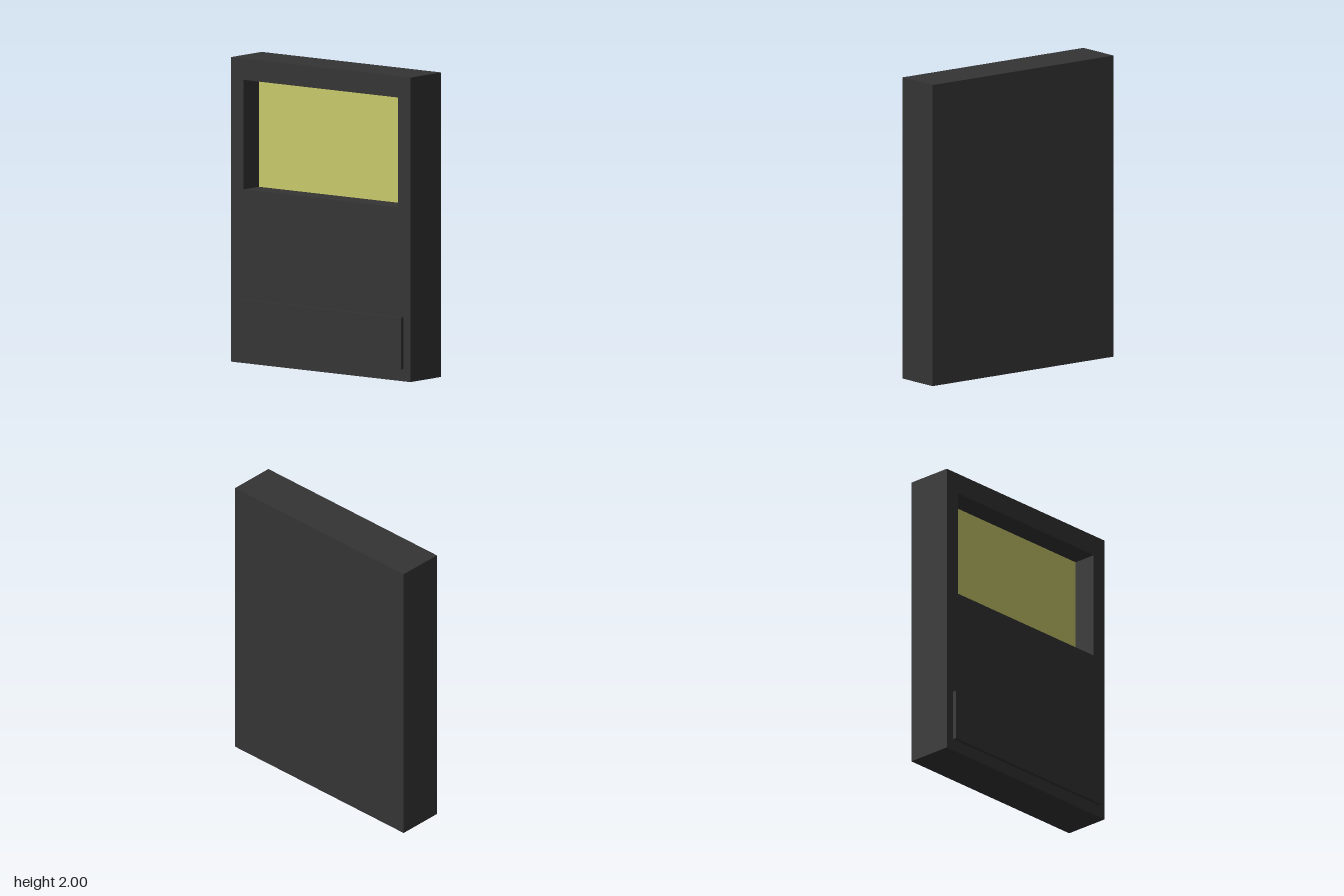
import * as THREE from 'three';

const HALF_WIDTH = 0.755, HEIGHT = 2;
const BACK = -0.17, FLOOR = -0.02, FRONT = 0.145;

// Adds the corners of a rectangle to a shape or path
function rectangle(path, halfWidth, bottom, top) {
  path.moveTo(-halfWidth, bottom);
  path.lineTo(halfWidth, bottom);
  path.lineTo(halfWidth, top);
  path.lineTo(-halfWidth, top);
  path.closePath();
  return path;
}

export function createModel() {
  const group = new THREE.Group();
  const casing = new THREE.MeshStandardMaterial({ color: 0x343434 });
  casing.name = 'dark grey casing';
  const glow = new THREE.MeshStandardMaterial({ color: 0xc9c96b });
  glow.name = 'yellow screen';

  function add(name, geometry, material, x, y, z) {
    const mesh = new THREE.Mesh(geometry, material);
    mesh.name = name;
    mesh.position.set(x, y, z);
    group.add(mesh);
  }

  // Front half of the casing, with the screen opening cut through it
  const outline = rectangle(new THREE.Shape(), HALF_WIDTH, 0, HEIGHT);
  outline.holes.push(rectangle(new THREE.Path(), 0.65, 1.14, 1.86));
  const frame = new THREE.ExtrudeGeometry(outline, { depth: FRONT - FLOOR, bevelEnabled: false });
  add('frontFrame', frame, casing, 0, 0, FLOOR);

  // Solid rear half
  const rear = new THREE.BoxGeometry(HALF_WIDTH * 2, HEIGHT, FLOOR - BACK);
  add('rearCasing', rear, casing, 0, HEIGHT / 2, (FLOOR + BACK) / 2);

  // Recessed screen at the bottom of the opening
  add('screen', new THREE.BoxGeometry(1.3, 0.72, 0.004), glow, 0, 1.5, FLOOR + 0.002);

  // Raised panel near the base
  add('lowerPanel', new THREE.BoxGeometry(1.39, 0.34, 0.025), casing, 0, 0.25, FRONT + 0.0125);

  return group;
}
